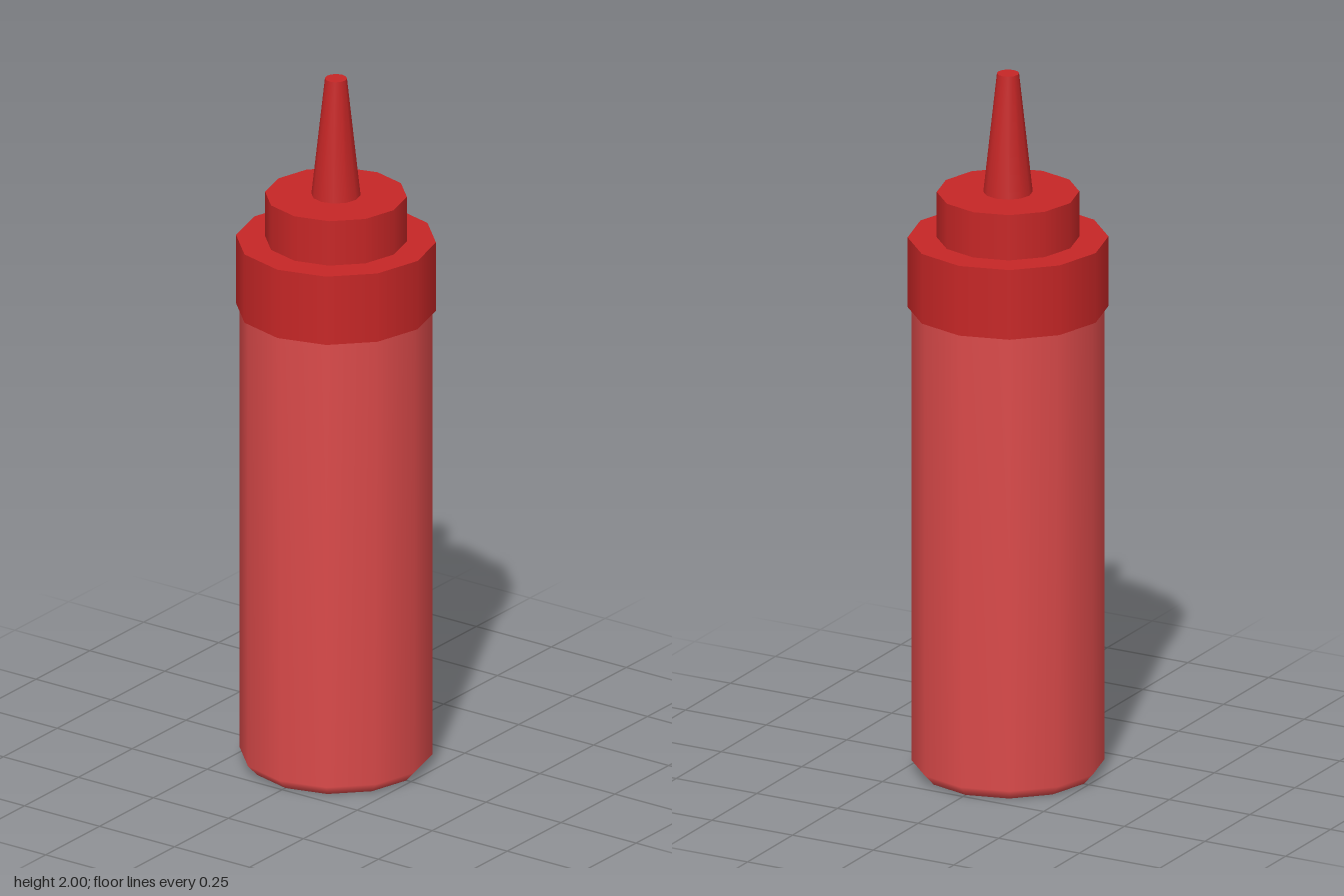
import * as THREE from 'three';

const SIDES = 12;

export function createModel() {
  const group = new THREE.Group();
  const capRed = new THREE.MeshStandardMaterial({ color: 0xc62626 });
  capRed.name = 'capRed';
  const bottleRed = new THREE.MeshStandardMaterial({ color: 0xdb4a4a });
  bottleRed.name = 'bottleRed';

  const add = (name, geometry, material, y = 0) => {
    const mesh = new THREE.Mesh(geometry, material);
    mesh.name = name;
    mesh.position.y = y;
    group.add(mesh);
  };

  // Capped round section between two heights
  const section = (name, bottomRadius, topRadius, y0, y1) =>
    add(name, new THREE.CylinderGeometry(topRadius, bottomRadius, y1 - y0, SIDES), capRed, (y0 + y1) / 2);

  // Bottle with a softly chamfered base
  const profile = [[0, 0], [0.235, 0], [0.262, 0.03], [0.262, 1.34]]
    .map(([r, y]) => new THREE.Vector2(r, y));
  add('bottle', new THREE.LatheGeometry(profile, SIDES), bottleRed);

  // Screw cap, raised collar and tapered nozzle
  section('screwCap', 0.272, 0.272, 1.33, 1.53);
  section('collar', 0.193, 0.193, 1.53, 1.66);
  section('nozzle', 0.067, 0.03, 1.66, 2);

  return group;
}
